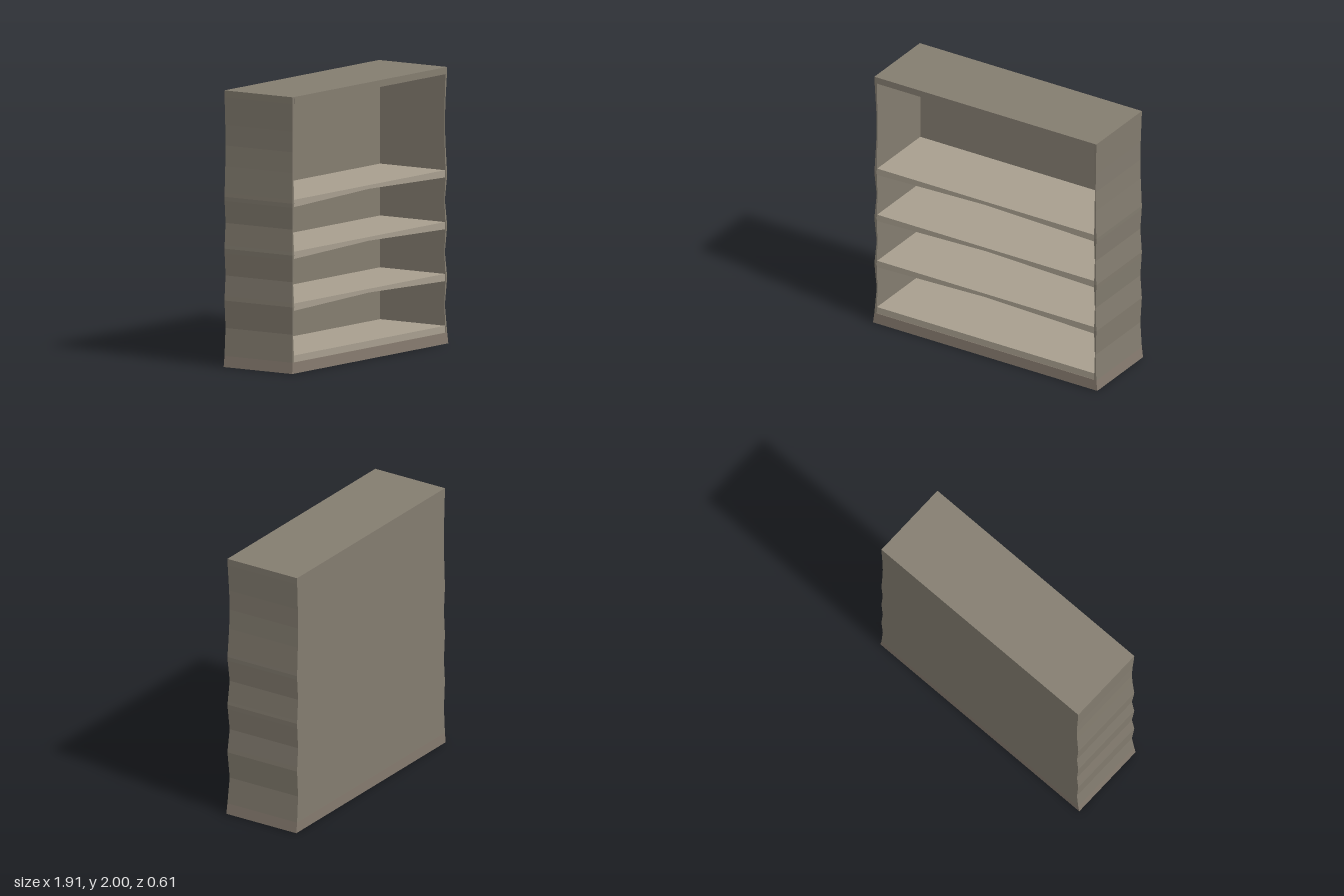
import * as THREE from 'three';

const mat = (color) => new THREE.MeshStandardMaterial({ color, flatShading: true });

export function createModel() {
  const group = new THREE.Group();
  group.name = 'bookcase';
  const frameMat = mat(0x847d70);
  const shelfMat = mat(0xa89f8f);
  const plinthMat = mat(0x857a6e);

  const add = (name, geometry, material) => {
    const mesh = new THREE.Mesh(geometry, material);
    mesh.name = name;
    group.add(mesh);
    return mesh;
  };
  const box = (name, w, y0, y1, z0, z1, material) => {
    const mesh = add(name, new THREE.BoxGeometry(w, y1 - y0, z1 - z0), material);
    mesh.position.set(0, (y0 + y1) / 2, (z0 + z1) / 2);
  };

  const INNER = 0.925, BACK = -0.3;
  const shelfTops = [0.505, 0.88, 1.255];

  // Wavy side panels: full at every shelf, pinched halfway between
  const levels = [[0.08, 0], [0.13, 0.25], [0.28, 1], [0.45, 0.15], [0.48, 0], [0.51, 0.15],
    [0.66, 1], [0.82, 0.15], [0.855, 0], [0.88, 0.15], [1.04, 1], [1.2, 0.1], [1.23, 0],
    [1.255, 0.1], [1.45, 0.75], [1.6, 1], [1.75, 0.75], [1.95, 0.1], [2, 0]];
  for (const side of [-1, 1]) {
    const geo = new THREE.BoxGeometry(1, 1, 1, 1, levels.length - 1, 1);
    const p = geo.attributes.position;
    for (let i = 0; i < p.count; i++) {
      const [y, pinch] = levels[Math.round((p.getY(i) + 0.5) * (levels.length - 1))];
      const outer = p.getX(i) * side > 0;
      p.setXYZ(i, side * (outer ? 0.945 - 0.013 * pinch : INNER), y,
        p.getZ(i) > 0 ? 0.302 - 0.011 * pinch : BACK);
    }
    geo.computeVertexNormals();
    add(side > 0 ? 'leftSide' : 'rightSide', geo, frameMat);
  }

  // Back and top boards between the sides
  box('backPanel', INNER * 2, 0.08, 2, BACK, -0.275, frameMat);
  box('topBoard', INNER * 2, 1.95, 2, BACK, 0.302, frameMat);

  // Shelves with a shallow arch cut under the middle
  shelfTops.forEach((top, i) => {
    const shape = new THREE.Shape([
      new THREE.Vector2(-INNER, top), new THREE.Vector2(-INNER, top - 0.053),
      new THREE.Vector2(0, top - 0.027), new THREE.Vector2(INNER, top - 0.053),
      new THREE.Vector2(INNER, top),
    ]);
    const geo = new THREE.ExtrudeGeometry(shape, { depth: 0.57, bevelEnabled: false });
    add('shelf' + (i + 1), geo.translate(0, 0, -0.275), shelfMat);
  });
  box('bottomShelf', INNER * 2, 0.08, 0.13, -0.275, 0.298, shelfMat);

  // Plinth flaring towards the floor, flush at the back
  const plinth = new THREE.BoxGeometry(1, 0.08, 1).translate(0, 0.04, 0);
  const p = plinth.attributes.position;
  for (let i = 0; i < p.count; i++) {
    const low = p.getY(i) < 0.04;
    p.setX(i, Math.sign(p.getX(i)) * (low ? 0.955 : 0.945));
    p.setZ(i, p.getZ(i) > 0 ? (low ? 0.305 : 0.302) : BACK);
  }
  plinth.computeVertexNormals();
  add('plinth', plinth, plinthMat);

  return group;
}
